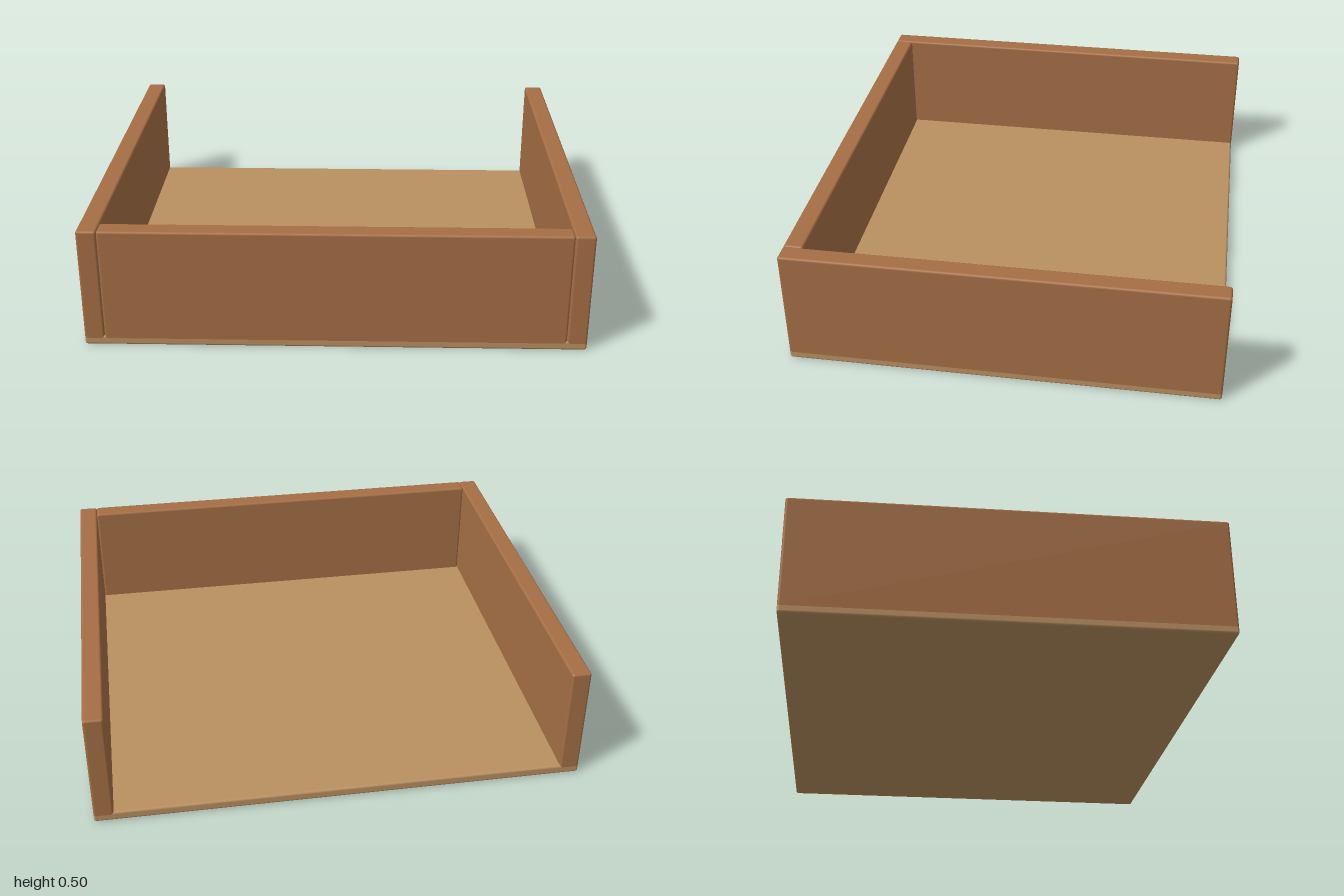
import * as THREE from 'three';
import { RoundedBoxGeometry } from 'three/addons/geometries/RoundedBoxGeometry.js';

export function createModel() {
  const model = new THREE.Group();
  model.name = 'openTray';

  const lightWood = new THREE.MeshStandardMaterial({ color: 0xb98f60 });
  lightWood.name = 'light wood';
  const brownWood = new THREE.MeshStandardMaterial({ color: 0xa56e45 });
  brownWood.name = 'brown wood';

  const depth = 1.745, wall = 0.08, bevel = 0.01;
  const wallBottom = 0.02, wallTop = 0.5;
  const wallHeight = wallTop - wallBottom;
  const wallY = (wallTop + wallBottom) / 2;

  // Board with softly rounded edges
  function board(name, material, size, position) {
    const mesh = new THREE.Mesh(new RoundedBoxGeometry(...size, 3, bevel), material);
    mesh.name = name;
    mesh.position.set(...position);
    model.add(mesh);
  }

  // Bottom panel
  board('bottomPanel', lightWood, [2, 0.04, depth], [0, 0.02, 0]);

  // Side walls, running the full depth
  for (const [name, side] of [['leftWall', 1], ['rightWall', -1]]) {
    board(name, brownWood, [wall, wallHeight, depth], [side * (1 - wall / 2), wallY, 0]);
  }

  // Front wall between the sides; the back stays open
  board('frontWall', brownWood, [2 - 2 * wall, wallHeight, wall], [0, wallY, (depth - wall) / 2]);

  return model;
}
